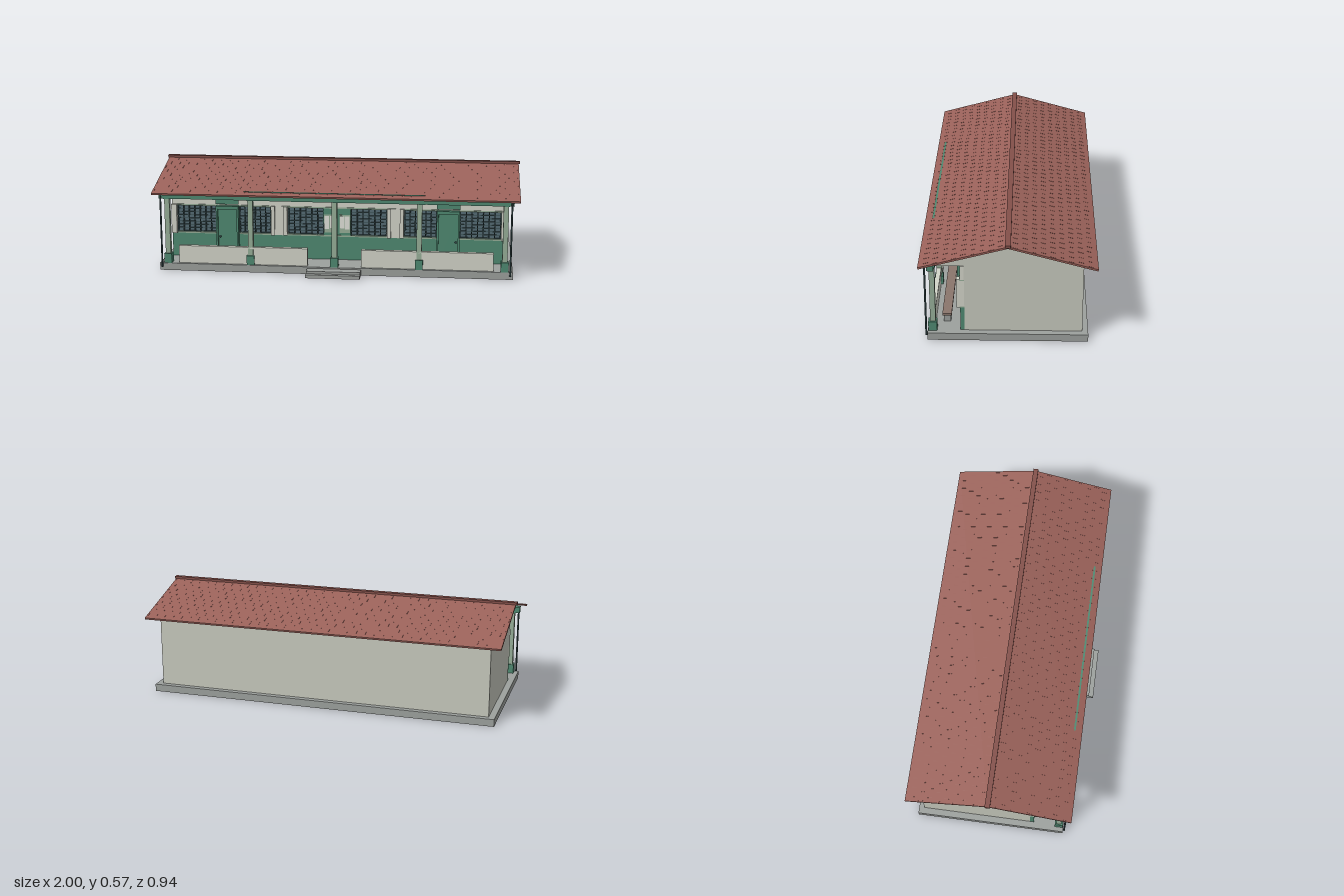
import * as THREE from 'three';
import { mergeGeometries } from 'three/addons/utils/BufferGeometryUtils.js';

const mat = (color) => new THREE.MeshStandardMaterial({ color });
const M = {
  concrete: mat(0x9da19e), wall: mat(0xc8cabe), cream: mat(0xd4d6ca), green: mat(0x4f8a72),
  pale: mat(0x98b09a), dark: mat(0x33484a), glass: mat(0x566d76), roof: mat(0x9b625a),
  ridge: mat(0x84504a), wood: mat(0x8a766c), paper: mat(0xe2e4dc),
};

// Box geometry given by its lower and upper bounds
function boxGeo(x0, x1, y0, y1, z0, z1) {
  return new THREE.BoxGeometry(x1 - x0, y1 - y0, z1 - z0)
    .translate((x0 + x1) / 2, (y0 + y1) / 2, (z0 + z1) / 2);
}

export function createModel() {
  const model = new THREE.Group();
  const add = (name, geo, material, parent = model) => {
    const mesh = new THREE.Mesh(geo, material);
    mesh.name = name;
    parent.add(mesh);
    return mesh;
  };
  const box = (name, material, b, parent) => add(name, boxGeo(...b), material, parent);
  // The same box on both sides of x = 0
  const pair = (name, material, [x0, x1, ...rest], parent) => {
    box(name + 'Left', material, [x0, x1, ...rest], parent);
    box(name + 'Right', material, [-x1, -x0, ...rest], parent);
  };

  // Floor slab and entrance steps
  box('floorSlab', M.concrete, [-0.965, 0.965, 0, 0.04, -0.43, 0.388]);
  box('upperStep', M.concrete, [-0.147, 0.147, 0, 0.032, 0.388, 0.445]);
  box('lowerStep', M.concrete, [-0.147, 0.147, 0, 0.019, 0.388, 0.47]);

  // Classroom block with the gable prism over it and the porch
  box('classroomWalls', M.wall, [-0.93, 0.93, 0.04, 0.415, -0.4, 0.2]);
  const gable = new THREE.Shape([
    new THREE.Vector2(-0.35, 0.415), new THREE.Vector2(0.4, 0.415), new THREE.Vector2(0.022, 0.547),
  ]);
  const gableGeo = new THREE.ExtrudeGeometry(gable, { depth: 1.86, bevelEnabled: false });
  add('gable', gableGeo.rotateY(Math.PI / 2).translate(-0.93, 0, 0), M.wall);

  // Front wall: green dado, sill and cream upper band
  box('dado', M.green, [-0.93, 0.93, 0.04, 0.172, 0.2, 0.221]);
  box('sill', M.pale, [-0.93, 0.93, 0.172, 0.18, 0.2, 0.225]);
  box('upperBand', M.cream, [-0.93, 0.93, 0.335, 0.412, 0.2, 0.221]);
  box('lintel', M.pale, [-0.93, 0.93, 0.33, 0.338, 0.2, 0.225]);

  // Windows with a dark lattice
  const windows = new THREE.Group();
  windows.name = 'windows';
  model.add(windows);
  for (const s of [-1, 1]) {
    for (const [a, b, cols] of [[0.075, 0.275, 6], [0.37, 0.55, 6], [0.675, 0.9, 7]]) {
      const x0 = Math.min(s * a, s * b), x1 = Math.max(s * a, s * b);
      box('windowGlass', M.glass, [x0, x1, 0.18, 0.33, 0.2, 0.207], windows);
      const bars = [];
      for (let i = 0; i <= cols; i++) {
        const x = x0 + 0.003 + (x1 - x0 - 0.006) * i / cols;
        bars.push(boxGeo(x - 0.003, x + 0.003, 0.18, 0.33, 0.206, 0.216));
      }
      for (let j = 0; j <= 8; j++) {
        const y = 0.182 + 0.146 * j / 8;
        bars.push(boxGeo(x0, x1, y - 0.0015, y + 0.0015, 0.206, 0.214));
      }
      add('windowLattice', mergeGeometries(bars), M.dark, windows);
    }
  }

  // Cream shutters between the windows and at the ends of the wall
  pair('pier', M.cream, [0.275, 0.37, 0.174, 0.338, 0.2, 0.226]);
  pair('shutterInner', M.cream, [0.277, 0.298, 0.174, 0.338, 0.226, 0.24]);
  pair('shutterOuter', M.cream, [0.347, 0.368, 0.174, 0.338, 0.226, 0.24]);
  pair('endShutter', M.cream, [0.9, 0.93, 0.174, 0.338, 0.2, 0.24]);

  // Doors with frames, knobs and blank plaques above
  for (const s of [-1, 1]) {
    const door = new THREE.Group();
    door.name = s > 0 ? 'doorLeft' : 'doorRight';
    door.position.x = s * 0.6125;
    model.add(door);
    box('doorLeaf', M.green, [-0.055, 0.055, 0.04, 0.318, 0.2, 0.234], door);
    pair('doorJamb', M.green, [0.053, 0.063, 0.04, 0.335, 0.2, 0.25], door);
    box('doorHead', M.green, [-0.063, 0.063, 0.318, 0.335, 0.2, 0.25], door);
    add('doorKnob', new THREE.SphereGeometry(0.006, 12, 8).translate(s * 0.042, 0.16, 0.238), M.dark, door);
    box('doorPlaque', M.green, [-0.064, 0.064, 0.346, 0.375, 0.238, 0.244], door);
    pair('plaqueBracket', M.dark, [0.04, 0.044, 0.355, 0.36, 0.22, 0.24], door);
  }

  // Notice board in the middle with paper sheets
  box('noticeBoard', M.green, [-0.075, 0.075, 0.18, 0.33, 0.2, 0.222]);
  pair('noticeFrame', M.pale, [0.012, 0.074, 0.195, 0.297, 0.222, 0.228]);
  pair('noticeSheetOuter', M.paper, [0.044, 0.07, 0.215, 0.29, 0.228, 0.23]);
  pair('noticeSheetInner', M.paper, [0.016, 0.04, 0.222, 0.29, 0.228, 0.23]);

  // Porch columns on green plinths, with capitals
  for (const x of [-0.92, -0.46, 0, 0.46, 0.92]) {
    const column = new THREE.Group();
    column.name = 'porchColumn';
    column.position.x = x;
    model.add(column);
    box('plinth', M.green, [-0.021, 0.021, 0.04, 0.092, 0.34, 0.385], column);
    box('shaft', M.pale, [-0.014, 0.014, 0.092, 0.43, 0.347, 0.375], column);
    box('capital', M.green, [-0.018, 0.018, 0.4, 0.43, 0.344, 0.38], column);
  }
  box('porchBeam', M.green, [-0.962, 0.962, 0.402, 0.436, 0.35, 0.384]);
  box('fasciaBoard', M.green, [-0.49, 0.49, 0.402, 0.452, 0.378, 0.388]);

  // Low porch walls, and benches behind them
  pair('porchWall', M.cream, [0.147, 0.86, 0.04, 0.13, 0.352, 0.372]);
  pair('porchWallCap', M.cream, [0.147, 0.86, 0.13, 0.138, 0.35, 0.375]);
  pair('benchBase', M.concrete, [0.27, 0.85, 0.04, 0.082, 0.275, 0.312]);
  pair('benchSeat', M.wood, [0.26, 0.86, 0.08, 0.093, 0.27, 0.318]);

  // Rain pipes at the front corners
  for (const s of [-1, 1]) {
    add('rainPipe', new THREE.CylinderGeometry(0.005, 0.005, 0.4, 12).translate(s * 0.95, 0.22, 0.395), M.dark);
  }

  // Roof slopes with staggered tile joints
  const ridgeY = 0.561, ridgeZ = -0.022, drop = 0.122, run = 0.447;
  const length = Math.hypot(drop, run), angle = Math.atan2(drop, run);
  for (const s of [1, -1]) {
    const slope = new THREE.Group();
    slope.name = s > 0 ? 'frontRoofSlope' : 'backRoofSlope';
    slope.position.set(0, ridgeY, ridgeZ);
    slope.rotation.set(angle, s > 0 ? 0 : Math.PI, 0, 'YXZ');
    model.add(slope);
    box('roofPanel', M.roof, [-0.993, 0.993, -0.01, 0, 0, length], slope);
    const joints = [];
    for (let row = 0; row < 9; row++) {
      for (let i = 0; i < 40; i++) {
        const x = -0.985 + 0.05 * i + (row % 2) * 0.02;
        const z = 0.025 + row * 0.048;
        joints.push(boxGeo(x - 0.002, x + 0.002, 0, 0.0012, z, z + 0.026));
      }
    }
    add('tileJoints', mergeGeometries(joints), M.roof, slope);
  }
  box('ridgeCap', M.ridge, [-1, 1, 0.556, 0.57, -0.036, -0.008]);

  return model;
}
